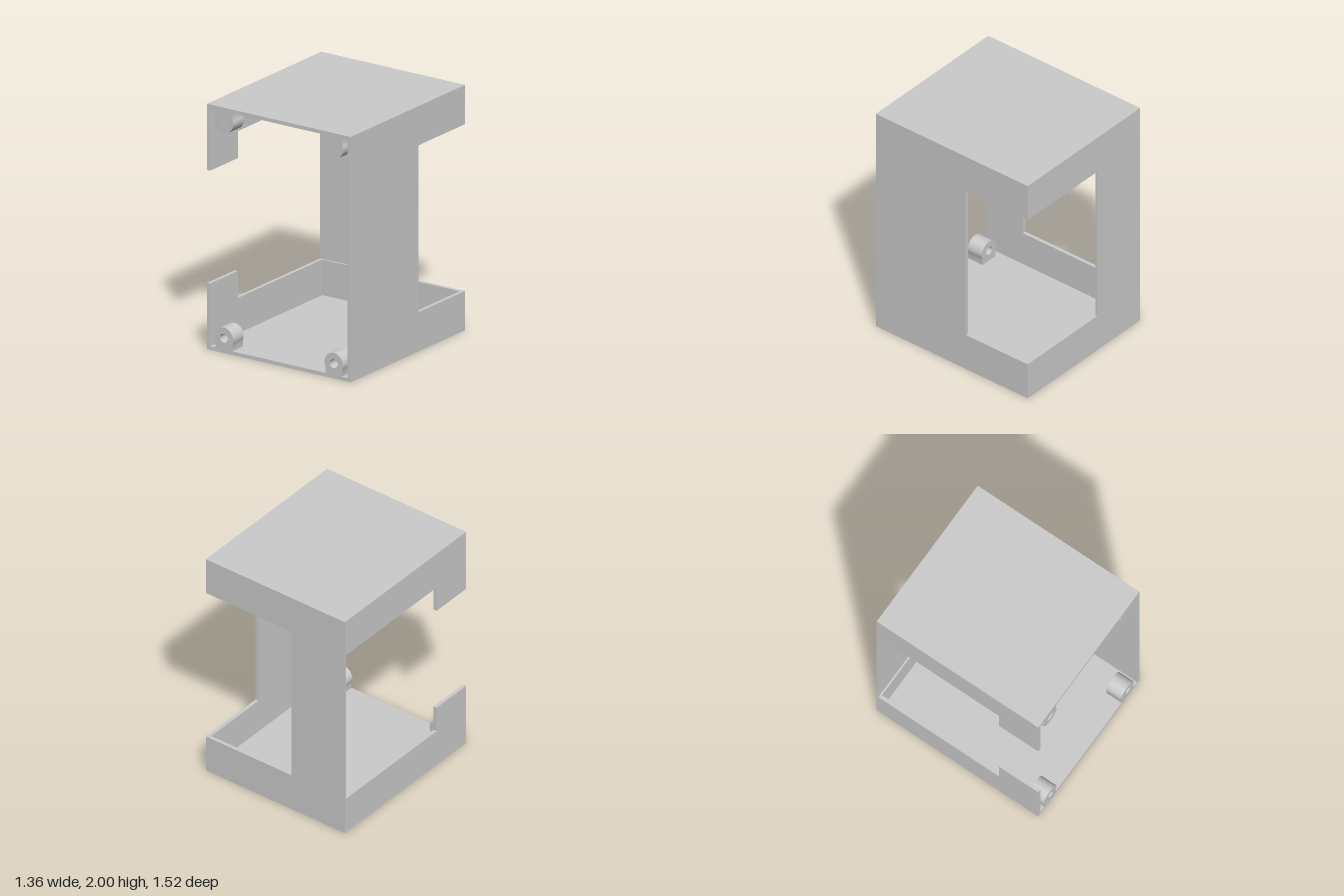
import * as THREE from 'three';
import { toCreasedNormals } from 'three/addons/utils/BufferGeometryUtils.js';

const W = 0.68, H = 2, D = 0.76;   // half width, height, half depth
const T = 0.03, SKIN = 0.015;      // wall and thin back skin thickness
const LOW = 0.32;                  // lower edge of the windows (upper one mirrors it)

const material = new THREE.MeshStandardMaterial({ color: 0xcccccc });

function shapeOf(points) {
  return new THREE.Shape(points.map(([x, y]) => new THREE.Vector2(x, y)));
}

function extrude(shape, depth) {
  return new THREE.ExtrudeGeometry(shape, { depth, bevelEnabled: false, curveSegments: 40 });
}

export function createModel() {
  const model = new THREE.Group();
  const add = (name, geometry, x = 0, y = 0, z = 0) => {
    const mesh = new THREE.Mesh(geometry, material);
    mesh.name = name;
    mesh.position.set(x, y, z);
    model.add(mesh);
  };

  // Back skin: a C outline whose window runs out to the +x corner
  add('backWall', extrude(shapeOf([
    [-W, 0], [W, 0], [W, LOW], [-0.16, LOW],
    [-0.16, H - LOW], [W, H - LOW], [W, H], [-W, H],
  ]), SKIN), 0, 0, -D);

  // Full-height side wall, narrowed by a window at the back (outline in z, y)
  const zBack = -D + SKIN;
  add('windowSideWall', extrude(shapeOf([
    [zBack, 0], [D, 0], [D, H], [zBack, H],
    [zBack, H - LOW], [-0.14, H - LOW], [-0.14, LOW], [zBack, LOW],
  ]), T).rotateY(-Math.PI / 2), W);

  // Parts that repeat at the bottom and, mirrored, at the top
  for (const top of [false, true]) {
    const prefix = top ? 'upper' : 'lower';
    const my = (y) => (top ? H - y : y);
    const flip = (points) => points.map(([x, y]) => [x, my(y)]);

    // Floor or roof plate
    add(prefix + 'Plate', new THREE.BoxGeometry(2 * (W - T), T, D - zBack),
      0, my(T / 2), (D + zBack) / 2);

    // Low side wall with a raised tab at the open front
    add(prefix + 'TabSideWall', extrude(shapeOf(flip([
      [zBack, 0], [D, 0], [D, 0.54], [0.39, 0.54], [0.39, LOW], [zBack, LOW],
    ])), T).rotateY(-Math.PI / 2), -W + T);

    // Inner thickening of the back wall, leaving a ledge at the window edge
    add(prefix + 'BackLedge', new THREE.BoxGeometry(2 * (W - T), LOW - T, SKIN),
      0, my((LOW + T) / 2), zBack + SKIN / 2);

    // Screw bosses: round heads on a straight foot, bored through
    for (const side of [-1, 1]) {
      const cx = side * 0.52, cy = 0.12, r = 0.088, half = 0.08;
      const start = -Math.acos(half / r);
      const outline = [[cx - half, T], [cx + half, T]];
      for (let i = 0; i <= 40; i++) {
        const a = start + (Math.PI - 2 * start) * (i / 40);
        outline.push([cx + r * Math.cos(a), cy + r * Math.sin(a)]);
      }
      const shape = shapeOf(flip(outline));
      shape.holes.push(new THREE.Path().absarc(cx, my(cy), 0.036, 0, Math.PI * 2, true));
      add(prefix + (side > 0 ? 'Left' : 'Right') + 'ScrewBoss',
        toCreasedNormals(extrude(shape, 0.14), 0.5), 0, 0, D - 0.14);
    }
  }

  return model;
}
